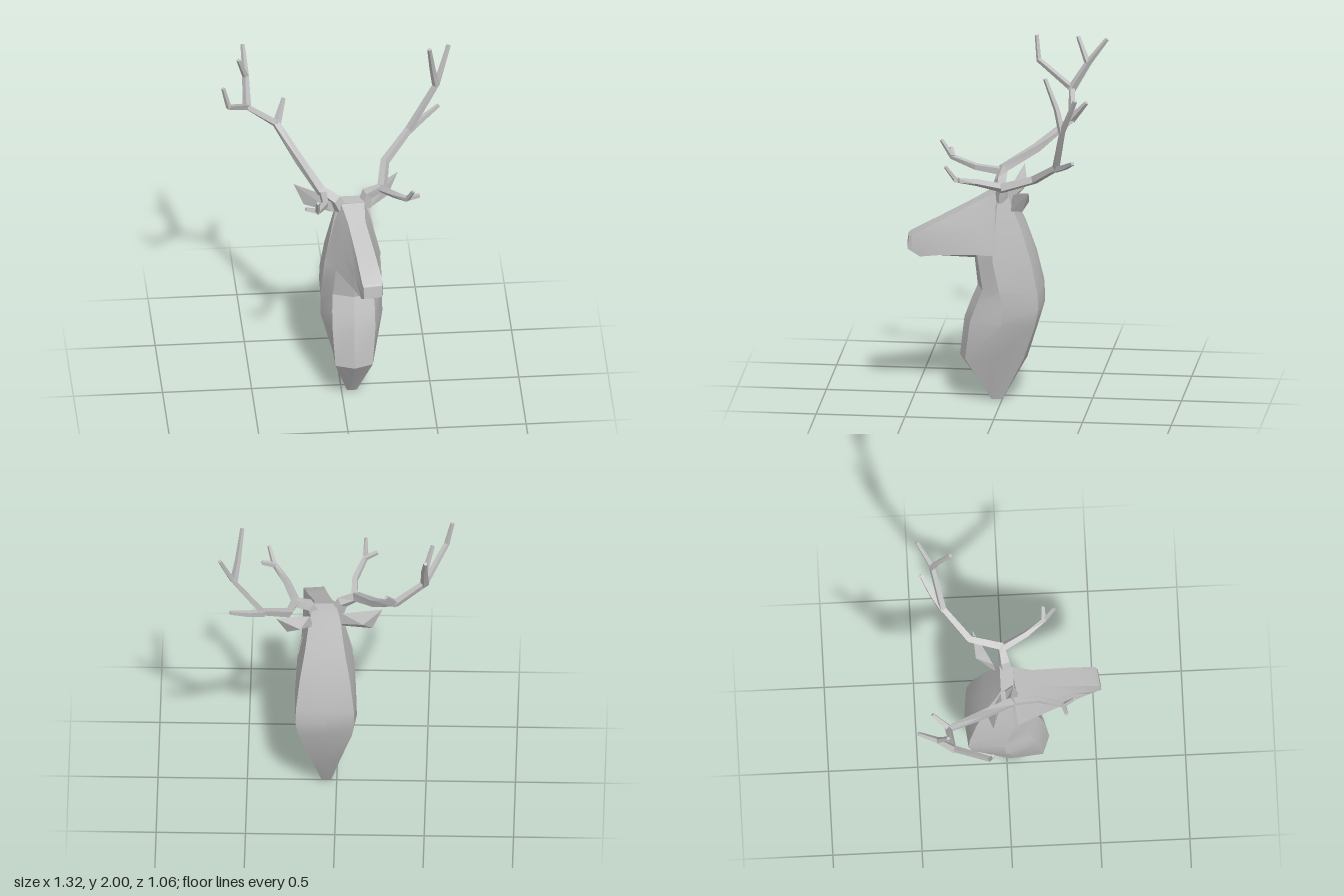
import * as THREE from 'three';
import { toCreasedNormals } from 'three/addons/utils/BufferGeometryUtils.js';
import { ConvexGeometry } from 'three/addons/geometries/ConvexGeometry.js';

const V = (x, y, z) => new THREE.Vector3(x, y, z);

// Skin a list of equal-length rings (counter-clockwise seen from the far end) and cap both ends
function loft(rings, crease) {
  const n = rings[0].length, pos = [], idx = [];
  rings.forEach((r) => r.forEach((p) => pos.push(p.x, p.y, p.z)));
  for (let i = 0; i < rings.length - 1; i++) {
    for (let j = 0; j < n; j++) {
      const k = (j + 1) % n, a = i * n + j, b = i * n + k;
      idx.push(a, b, b + n, a, b + n, a + n);
    }
  }
  const e = (rings.length - 1) * n;
  for (let j = 1; j < n - 1; j++) idx.push(0, j + 1, j, e, e + j, e + j + 1);
  const g = new THREE.BufferGeometry();
  g.setAttribute('position', new THREE.Float32BufferAttribute(pos, 3));
  g.setIndex(idx);
  return toCreasedNormals(g, crease);
}

// Square-section tapering branch along a bent path
function branch(points, r0, r1) {
  const p = points.map((a) => V(...a)), last = p.length - 1;
  const rings = p.map((c, i) => {
    const t = p[Math.min(i + 1, last)].clone().sub(p[Math.max(i - 1, 0)]).normalize();
    const ref = V(0.55, 0.1, 0.83);
    const u = ref.addScaledVector(t, -ref.dot(t)).normalize();
    const v = t.clone().cross(u);
    const r = r0 + (r1 - r0) * (i / last);
    return [0, 1, 2, 3].map((k) => {
      const a = (k + 0.5) * Math.PI / 2;
      return c.clone().addScaledVector(u, r * Math.cos(a)).addScaledVector(v, r * Math.sin(a));
    });
  });
  return loft(rings, 0.3);
}

export function createModel() {
  const group = new THREE.Group();
  const grey = new THREE.MeshStandardMaterial({ color: 0xbfbfbf });
  grey.name = 'stone grey';
  const add = (name, geometry, parent = group) => {
    const m = new THREE.Mesh(geometry, grey);
    m.name = name;
    parent.add(m);
  };

  // Neck: y, front centre z, front half width and z, side half width and z, back half width and z, back centre z
  const neck = [
    [0, 0.06, 0.027, 0.06, 0.028, 0.03, 0.027, 0, 0],
    [0.25, 0.24, 0.105, 0.2, 0.108, 0.04, 0.085, -0.125, -0.14],
    [0.47, 0.215, 0.12, 0.172, 0.174, -0.01, 0.15, -0.2, -0.208],
    [0.57, 0.178, 0.12, 0.135, 0.172, -0.02, 0.165, -0.22, -0.237],
    [0.66, 0.14, 0.115, 0.1, 0.17, 0, 0.162, -0.215, -0.23],
    [0.84, 0.16, 0.1, 0.13, 0.158, 0.04, 0.14, -0.175, -0.19],
    [1.01, 0.08, 0.08, 0.07, 0.125, 0.03, 0.11, -0.12, -0.13],
    [1.15, 0.05, 0.06, 0.045, 0.098, 0.02, 0.09, -0.06, -0.065],
    [1.218, 0.04, 0.06, 0.038, 0.066, 0, 0.075, -0.035, -0.035],
  ].map(([y, fc, hf, zf, hm, zm, hb, zb, bc]) => {
    const x = 0.058 + 0.006 * y;
    return [V(x, y, fc), V(x + hf, y, zf), V(x + hm, y, zm), V(x + hb, y, zb),
      V(x, y, bc), V(x - hb, y, zb), V(x - hm, y, zm), V(x - hf, y, zf)];
  });
  add('neck', loft(neck, 0.4));

  // Head, turned slightly: centre x, throat [y, z], then [half width, y, z] of jaw, cheek and brow
  const head = [
    [0.065, [0.83, 0.05], [0.158, 0.87, 0.04], [0.1, 1.11, 0.03], [0.065, 1.216, 0.04]],
    [0.078, [0.82, 0.15], [0.125, 0.868, 0.15], [0.092, 1.03, 0.15], [0.049, 1.155, 0.15]],
    [0.115, [0.853, 0.35], [0.081, 0.86, 0.35], [0.07, 0.96, 0.35], [0.054, 1.05, 0.35]],
    [0.138, [0.846, 0.455], [0.058, 0.848, 0.458], [0.059, 0.895, 0.505], [0.058, 0.97, 0.505]],
    [0.139, [0.888, 0.528], [0.052, 0.89, 0.527], [0.052, 0.92, 0.525], [0.052, 0.958, 0.519]],
  ].map(([cx, [ty, tz], ...side]) => {
    const at = ([h, y, z], s) => V(cx + s * h, y, z - 0.12 * s * h);
    return [V(cx, ty, tz), ...side.map((p) => at(p, 1)), ...side.reverse().map((p) => at(p, -1))];
  });
  add('head', loft(head, 0.35));

  // Ears: pointed leaf shapes
  const ear = (pts) => new ConvexGeometry(pts.map((p) => V(...p)));
  add('rightEar', ear([[0, 1.13, -0.03], [-0.03, 1.21, -0.04], [-0.14, 1.24, -0.06],
    [-0.258, 1.28, -0.088], [-0.2, 1.145, -0.085], [-0.05, 1.12, -0.035], [-0.15, 1.19, -0.115]]));
  add('leftEar', ear([[0.13, 1.13, -0.05], [0.15, 1.21, -0.07], [0.22, 1.24, -0.11],
    [0.335, 1.275, -0.178], [0.275, 1.15, -0.135], [0.17, 1.12, -0.06], [0.2, 1.19, -0.165]]));

  // Antlers: each entry is part name, path, start and end radius
  const antlers = {
    leftAntler: [
      ['beam', [[0.13, 1.17, 0], [0.15, 1.245, -0.01], [0.235, 1.275, -0.025], [0.265, 1.335, -0.2],
        [0.41, 1.45, -0.34], [0.572, 1.71, -0.395], [0.645, 1.91, -0.475]], 0.04, 0.013],
      ['browTine', [[0.225, 1.27, -0.02], [0.285, 1.315, 0.12], [0.355, 1.345, 0.23], [0.385, 1.43, 0.285]], 0.026, 0.011],
      ['browFork', [[0.345, 1.345, 0.222], [0.425, 1.362, 0.222]], 0.018, 0.013],
      ['middleTine', [[0.4, 1.44, -0.335], [0.49, 1.48, -0.4], [0.587, 1.53, -0.455]], 0.024, 0.012],
      ['topTine', [[0.567, 1.705, -0.392], [0.545, 1.83, -0.36], [0.522, 2.0, -0.292]], 0.022, 0.012],
    ],
    rightAntler: [
      ['beam', [[0, 1.17, 0.02], [-0.03, 1.24, 0.025], [-0.11, 1.29, 0.015], [-0.215, 1.385, -0.16],
        [-0.335, 1.525, -0.345], [-0.5, 1.655, -0.325], [-0.618, 1.78, -0.125], [-0.65, 1.915, -0.11]], 0.04, 0.012],
      ['browTine', [[-0.1, 1.275, 0.02], [-0.1, 1.297, 0.17], [-0.155, 1.335, 0.31], [-0.157, 1.43, 0.37]], 0.026, 0.011],
      ['browFork', [[-0.145, 1.335, 0.305], [-0.222, 1.365, 0.322]], 0.018, 0.013],
      ['middleTine', [[-0.332, 1.52, -0.34], [-0.285, 1.635, -0.432]], 0.024, 0.012],
      ['topTine', [[-0.5, 1.645, -0.32], [-0.5, 1.81, -0.42], [-0.508, 1.945, -0.522]], 0.025, 0.012],
      ['topFork', [[-0.5, 1.8, -0.415], [-0.545, 1.945, -0.355]], 0.018, 0.012],
    ],
  };
  for (const [name, parts] of Object.entries(antlers)) {
    const antler = new THREE.Group();
    antler.name = name;
    parts.forEach(([part, path, r0, r1]) => add(part, branch(path, r0, r1), antler));
    group.add(antler);
  }
  return group;
}
